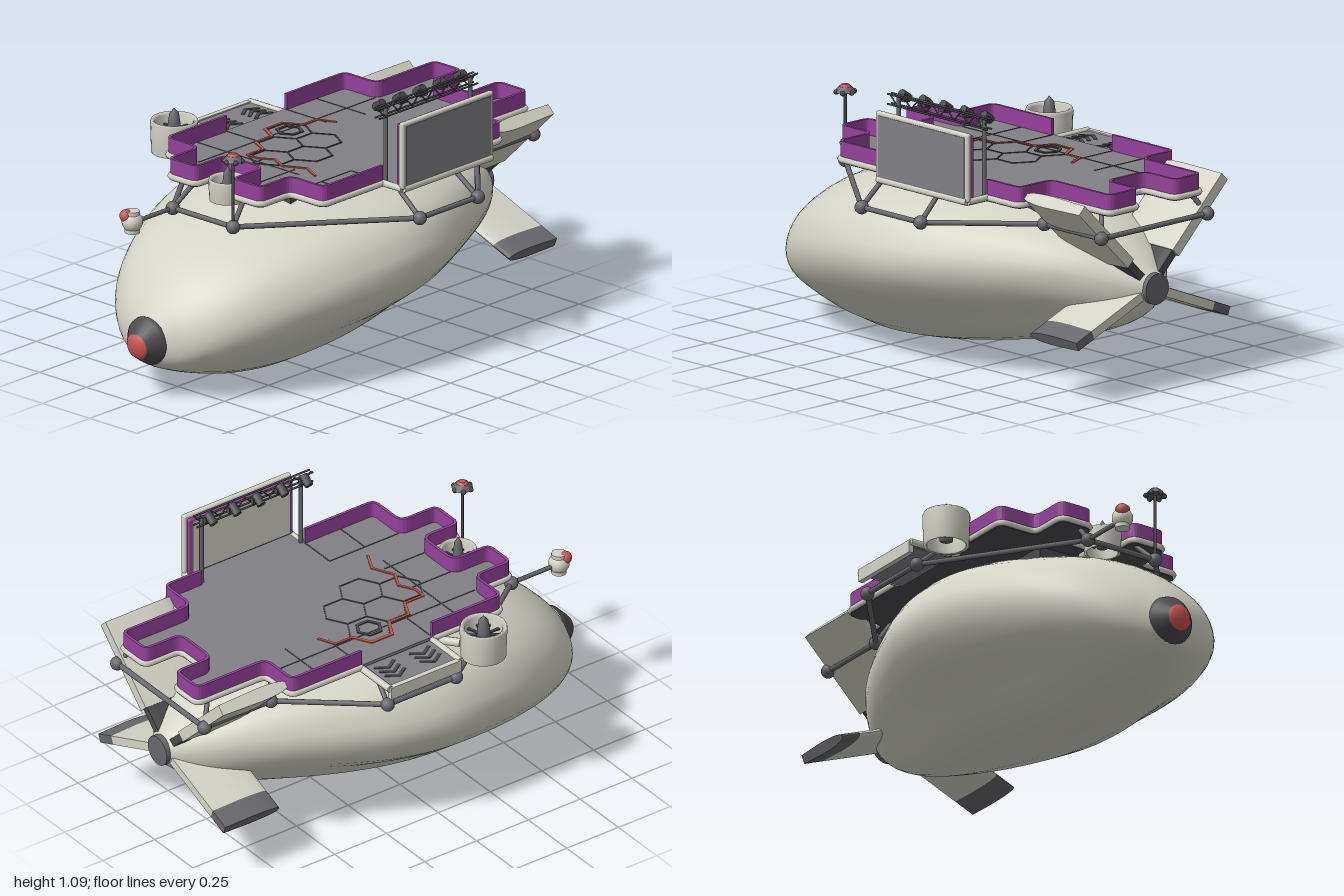
import * as THREE from 'three';
import { RoundedBoxGeometry } from 'three/addons/geometries/RoundedBoxGeometry.js';

const V = (x, y, z) => new THREE.Vector3(x, y, z);
const mat = (name, color, side = THREE.FrontSide) => Object.assign(new THREE.MeshStandardMaterial({ color, side }), { name });

export function createModel() {
  const model = new THREE.Group();
  const white = mat('hullWhite', 0xd3d3c6), floorGrey = mat('floorGrey', 0x818085), dark = mat('darkGrey', 0x4b4b4f);
  const steel = mat('steelGrey', 0x68686d), purple = mat('wallPurple', 0x94429a, THREE.DoubleSide), red = mat('signalRed', 0xcc5550);

  const add = (name, geo, m, x = 0, y = 0, z = 0, parent = model) => {
    const mesh = new THREE.Mesh(geo, m);
    mesh.name = name;
    mesh.position.set(x, y, z);
    parent.add(mesh);
    return mesh;
  };
  const box = (name, m, x0, x1, y0, y1, z0, z1) =>
    add(name, new THREE.BoxGeometry(x1 - x0, y1 - y0, z1 - z0), m, (x0 + x1) / 2, (y0 + y1) / 2, (z0 + z1) / 2);
  const rod = (name, a, b, r, m) => {
    const mesh = add(name, new THREE.CylinderGeometry(r, r, a.distanceTo(b), 8), m);
    mesh.position.copy(a).lerp(b, 0.5);
    mesh.quaternion.setFromUnitVectors(V(0, 1, 0), b.clone().sub(a).normalize());
    return mesh;
  };

  // Hull: stations are x, top, bottom, half width, widest height, lobe amount
  const stations = [
    [-0.92, 0.33, 0.14, 0.1, 0.235, 0], [-0.86, 0.41, 0.11, 0.215, 0.26, 0.05], [-0.75, 0.515, 0.07, 0.33, 0.31, 0.3],
    [-0.6, 0.605, 0.03, 0.425, 0.355, 0.6], [-0.4, 0.675, 0.005, 0.51, 0.4, 0.9], [-0.2, 0.715, 0.01, 0.56, 0.43, 1],
    [0, 0.73, 0.035, 0.575, 0.445, 1], [0.2, 0.725, 0.07, 0.54, 0.455, 1], [0.4, 0.7, 0.11, 0.46, 0.465, 1],
    [0.6, 0.66, 0.16, 0.36, 0.47, 0.95], [0.75, 0.61, 0.21, 0.265, 0.465, 0.6], [0.87, 0.54, 0.27, 0.165, 0.44, 0.2],
    [0.97, 0.465, 0.35, 0.06, 0.41, 0]];
  const curve = (a, b, c) => new THREE.CatmullRomCurve3(stations.map(s => V(s[a], s[b], s[c])), false, 'catmullrom', 0.5);
  const c1 = curve(0, 1, 2), c2 = curve(3, 4, 5);
  const lobed = new THREE.SplineCurve([[0, 1], [0.2, 0.98], [0.43, 0.9], [0.73, 0.71], [0.84, 0.58], [0.93, 0.37], [1, 0],
    [0.96, -0.18], [0.87, -0.36], [0.7, -0.54], [0.58, -0.65], [0.48, -0.78], [0.35, -0.9], [0.17, -0.98], [0, -1]]
    .map(p => new THREE.Vector2(...p))).getSpacedPoints(20);
  const pos = [], idx = [], ringN = 40, rings = 48;
  for (let i = 0; i <= rings; i++) {
    const p = c1.getPoint(i / rings), q = c2.getPoint(i / rings);
    for (let j = 0; j < ringN; j++) {
      const k = j <= 20 ? j : 40 - j, side = j <= 20 ? 1 : -1, t = k / 20 * Math.PI;
      const w = Math.min(1, Math.max(0, q.z));
      const zf = THREE.MathUtils.lerp(Math.sin(t), lobed[k].x, w), yf = THREE.MathUtils.lerp(Math.cos(t), lobed[k].y, w);
      pos.push(p.x, q.y + yf * (yf > 0 ? p.y - q.y : q.y - p.z), side * zf * q.x);
      if (i < rings) {
        const a = i * ringN + j, b = i * ringN + (j + 1) % ringN;
        idx.push(a, b, a + ringN, b, b + ringN, a + ringN);
      }
    }
  }
  const hull = new THREE.BufferGeometry();
  hull.setAttribute('position', new THREE.Float32BufferAttribute(pos, 3));
  hull.setIndex(idx);
  hull.computeVertexNormals();
  add('hull', hull, white);

  // Nose cone and tail cap
  const lathe = pts => new THREE.LatheGeometry(pts.map(p => new THREE.Vector2(...p)), 24);
  const noseAngle = Math.PI / 2 + 0.12;
  add('noseCone', lathe([[0.1, -0.01], [0.096, 0.01], [0.052, 0.062]]), dark, -0.92, 0.235, 0).rotation.z = noseAngle;
  add('noseTip', lathe([[0.053, 0.06], [0.042, 0.072], [0.02, 0.079], [0, 0.08]]), red, -0.92, 0.235, 0).rotation.z = noseAngle;
  add('tailCap', new THREE.CylinderGeometry(0.062, 0.062, 0.03, 24), steel, 0.972, 0.41, 0).rotation.z = Math.PI / 2;

  // Four tail fins, each an aerofoil swept outward from the tail
  const fin = (name, dir, x0, x1, t, start, end, m) => {
    const s = new THREE.Shape();
    s.moveTo(x1, -t * 0.4);
    s.lineTo(x1, t * 0.4);
    s.lineTo(x0 + 0.14, t / 2);
    s.quadraticCurveTo(x0, t / 2, x0, 0);
    s.quadraticCurveTo(x0, -t / 2, x0 + 0.14, -t / 2);
    const mesh = add(name, new THREE.ExtrudeGeometry(s, { depth: end - start, bevelEnabled: false, curveSegments: 8 }), m, 0, 0.41, 0);
    mesh.rotation.x = -Math.atan2(dir[0], dir[1]);
    mesh.geometry.translate(0, 0, start);
  };
  for (const s of [1, -1]) {
    fin('upperFinRoot', [0.38, s * 0.385], 0.78, 0.955, 0.04, 0.05, 0.2, dark);
    fin('upperFin', [0.38, s * 0.385], 0.64, 0.965, 0.055, 0.17, 0.54, white);
    fin('lowerFin', [-0.16, s * 0.4], 0.7, 0.965, 0.045, 0.06, 0.35, white);
    fin('lowerFinTip', [-0.16, s * 0.4], 0.7, 0.965, 0.045, 0.35, 0.44, steel);
  }

  // Deck outline, starboard and port runs with rounded corners
  const round = (pts, r = 0.035) => {
    const out = [pts[0]];
    for (let i = 1; i < pts.length - 1; i++) {
      const p = pts[i], a = p.clone().add(pts[i - 1].clone().sub(p).setLength(r)), b = p.clone().add(pts[i + 1].clone().sub(p).setLength(r));
      out.push(...new THREE.QuadraticBezierCurve(a, p, b).getPoints(5));
    }
    return [...out, pts[pts.length - 1]];
  };
  const to2 = list => list.map(p => new THREE.Vector2(...p));
  const tailRun = round(to2([[0.31, -0.42], [0.65, -0.42], [0.65, -0.25], [0.98, -0.25], [0.98, -0.1], [0.81, -0.1],
    [0.81, 0.09], [0.98, 0.09], [0.98, 0.25], [0.65, 0.25], [0.65, 0.42], [0.47, 0.42]]));
  const noseRun = round(to2([[-0.03, 0.42], [-0.37, 0.42], [-0.37, 0.245], [-0.54, 0.245], [-0.54, 0.09], [-0.37, 0.09],
    [-0.37, -0.1], [-0.54, -0.1], [-0.54, -0.25], [-0.37, -0.25], [-0.37, -0.42], [-0.03, -0.42]]));
  const outline = [...tailRun, ...to2([[0.47, 0.52], [-0.03, 0.52]]), ...noseRun];
  const slab = (name, depth, y, m) => {
    const geo = new THREE.ExtrudeGeometry(new THREE.Shape(outline.map(p => new THREE.Vector2(p.x, -p.y))), { depth, bevelEnabled: false });
    add(name, geo.rotateX(-Math.PI / 2), m, 0, y, 0);
  };
  slab('deckUnderside', 0.012, 0.742, dark);
  slab('deckFloor', 0.011, 0.754, floorGrey);

  // Padded purple walls with a white lip around the deck
  for (const run of [tailRun, noseRun]) {
    const path = new THREE.CurvePath();
    const inner = [];
    run.forEach((p, i) => {
      const d = run[Math.min(i + 1, run.length - 1)].clone().sub(run[Math.max(i - 1, 0)]).normalize();
      inner.push(new THREE.Vector2(p.x - d.y * 0.012, p.y + d.x * 0.012));
      if (i) path.add(new THREE.LineCurve3(V(run[i - 1].x, 0, run[i - 1].y), V(p.x, 0, p.y)));
    });
    const wall = new THREE.Shape([...run, ...inner.reverse()].map(p => new THREE.Vector2(p.x, -p.y)));
    add('deckWall', new THREE.ExtrudeGeometry(wall, { depth: 0.072, bevelEnabled: false }).rotateX(-Math.PI / 2), purple, 0, 0.758, 0);
    add('deckLip', new THREE.TubeGeometry(path, 220, 0.013, 6), white, 0, 0.757, 0);
  }
  box('deckPedestal', dark, -0.3, 0.5, 0.66, 0.744, -0.18, 0.18);

  // Floor markings: panel lines, hexagon tiles and a red trail
  const line = (name, a, b, w, m, y = 0.766) => {
    const mesh = add(name, new THREE.BoxGeometry(Math.hypot(b[0] - a[0], b[1] - a[1]) + w * 0.5, 0.004, w), m, (a[0] + b[0]) / 2, y, (a[1] + b[1]) / 2);
    mesh.rotation.y = -Math.atan2(b[1] - a[1], b[0] - a[0]);
  };
  [[-0.2, -0.41, -0.2, 0.13], [-0.03, -0.41, -0.03, -0.25], [0.31, -0.41, 0.31, -0.2], [0.48, -0.41, 0.48, -0.15], [-0.36, -0.25, 0.64, -0.25],
    [-0.36, 0.25, -0.03, 0.25], [-0.36, -0.09, -0.17, -0.09], [-0.36, 0.08, -0.17, 0.08], [-0.2, 0.25, -0.2, 0.41], [-0.03, 0.25, -0.03, 0.41]]
    .forEach(l => line('panelLine', [l[0], l[1]], [l[2], l[3]], 0.006, dark, 0.7645));
  const hex = (cx, cz, r, w, y) => {
    for (let k = 0; k < 6; k++) {
      const pt = n => [cx + r * Math.cos(n * Math.PI / 3), cz + r * Math.sin(n * Math.PI / 3)];
      line('hexTile', pt(k), pt(k + 1), w, dark, y);
    }
  };
  [[0.135, -0.23], [0, -0.152], [-0.08 - 0.055, -0.074], [0, 0.004], [0.135, -0.074]].forEach(c => hex(c[0], c[1], 0.09, 0.006));
  hex(0.135, -0.23, 0.05, 0.012, 0.77);
  const trail = [[0.335, -0.17], [0.305, -0.24], [0.225, -0.24], [0.185, -0.315], [0.085, -0.315], [0.045, -0.24], [-0.05, -0.24],
    [-0.085, -0.165], [-0.175, -0.165], [-0.175, -0.11], [-0.14, -0.05], [-0.175, 0.02], [-0.13, 0.11], [-0.17, 0.19]];
  trail.slice(1).forEach((p, i) => line('redTrail', trail[i], p, 0.01, red, 0.767));

  // Boarding ramp at the back with chevrons
  box('rampFloor', floorGrey, -0.02, 0.3, 0.735, 0.752, -0.6, -0.41);
  box('rampEdge', white, -0.03, 0.31, 0.705, 0.757, -0.612, -0.59);
  for (const x of [-0.03, 0.31]) rod('rampSide', V(x, 0.75, -0.605), V(x, 0.75, -0.42), 0.014, white);
  for (const cx of [0.055, 0.225]) for (let k = 0; k < 3; k++) for (const s of [1, -1])
    line('chevron', [cx, -0.55 + k * 0.035], [cx + s * 0.045, -0.52 + k * 0.035], 0.014, dark, 0.753);

  // Display screen standing on the front edge
  const panel = (name, m, w, h, d, z) => add(name, new RoundedBoxGeometry(w, h, d, 2, 0.009), m, 0.22, 0.893, z);
  panel('screenFrame', white, 0.52, 0.275, 0.024, 0.522);
  panel('screenPadding', purple, 0.505, 0.255, 0.02, 0.5);
  box('screenFace', floorGrey, -0.022, 0.462, 0.772, 1.015, 0.532, 0.537);
  box('screenBack', white, -0.015, 0.455, 0.775, 1.01, 0.486, 0.491);
  rod('screenFoot', V(-0.03, 0.757, 0.525), V(0.47, 0.757, 0.525), 0.016, white);
  for (const x of [-0.03, 0.47]) rod('screenFootSide', V(x, 0.757, 0.525), V(x, 0.757, 0.42), 0.014, white);

  // Lighting truss on two posts
  for (const x of [-0.02, 0.46]) rod('trussPost', V(x, 0.76, 0.425), V(x, 1.07, 0.425), 0.009, steel);
  for (const y of [1.035, 1.075]) for (const z of [0.415, 0.437]) rod('trussRail', V(-0.07, y, z), V(0.49, y, z), 0.004, dark);
  for (let k = 0; k < 14; k++) {
    const x = -0.07 + k * 0.04, up = k % 2 ? 1.035 : 1.075;
    rod('trussBrace', V(x, up, 0.426), V(x + 0.04, 2.11 - up, 0.426), 0.003, dark);
  }
  for (let k = 0; k < 5; k++) {
    const x = -0.02 + k * 0.115;
    rod('lampBody', V(x, 1.082, 0.41), V(x, 1.055, 0.37), 0.018, dark);
    box('lampBracket', dark, x - 0.021, x + 0.021, 1.05, 1.075, 0.395, 0.415);
  }

  // Outrigger frame of rods and ball joints below the deck
  const nodes = [[-0.6, 0.155], [-0.03, 0.615], [0.3, 0.615], [0.65, 0.285], [0.97, 0.285], [0.97, -0.285],
    [0.65, -0.285], [0.3, -0.575], [-0.03, -0.575], [-0.6, -0.165]].map(p => V(p[0], 0.66, p[1]));
  nodes.forEach((n, i) => {
    add('frameJoint', new THREE.SphereGeometry(0.028, 14, 10), steel).position.copy(n);
    rod('frameRod', n, nodes[(i + 1) % nodes.length], 0.011, steel);
    const top = V(n.x < -0.5 ? n.x + 0.09 : n.x > 0.9 ? n.x - 0.05 : n.x * 0.95, 0.745, n.z * 0.83);
    rod('frameStrut', n, top, 0.01, steel);
  });

  // Upright ducted fans
  const fan = (x, z, r, y0, y1, tip) => {
    const g = new THREE.Group();
    g.name = 'ductedFan';
    g.position.set(x, 0, z);
    model.add(g);
    add('fanDuct', lathe([[r * 0.82, y0], [r * 0.95, y0], [r, y1 - 0.01], [r * 0.95, y1], [r * 0.8, y1 - 0.01], [r * 0.8, y0 + 0.01], [r * 0.82, y0]]), white, 0, 0, 0, g);
    add('fanSpinner', lathe([[0, y0 + 0.02], [r * 0.28, y0 + 0.02], [r * 0.28, y1 - 0.03], [r * 0.2, (y1 + tip) / 2], [0, tip]]), steel, 0, 0, 0, g);
    for (let k = 0; k < 5; k++) {
      const blade = add('fanBlade', new THREE.BoxGeometry(r * 1.62, 0.006, r * 0.12), dark, 0, y1 - 0.045, 0, g);
      blade.rotation.y = k * Math.PI / 5;
    }
  };
  fan(-0.185, -0.545, 0.094, 0.69, 0.825, 0.87);
  fan(-0.465, 0, 0.075, 0.7, 0.79, 0.84);
  rod('fanArm', V(-0.12, 0.735, -0.48), V(-0.06, 0.735, -0.41), 0.018, white);
  rod('fanArm', V(-0.4, 0.735, 0), V(-0.33, 0.735, 0), 0.018, white);

  // Beacon lamp ahead of the deck
  rod('beaconArm', nodes[9], V(-0.83, 0.66, -0.165), 0.009, steel);
  add('beaconBody', new THREE.SphereGeometry(0.042, 16, 12), white, -0.83, 0.665, -0.165);
  add('beaconCollar', new THREE.CylinderGeometry(0.03, 0.03, 0.09, 14), white, -0.83, 0.665, -0.165);
  add('beaconLens', new THREE.SphereGeometry(0.026, 14, 10), red, -0.85, 0.69, -0.18);

  // Sensor mast
  rod('mastPost', V(-0.6, 0.66, 0.155), V(-0.6, 0.945, 0.155), 0.006, dark);
  add('mastHead', new THREE.CylinderGeometry(0.025, 0.042, 0.022, 14), steel, -0.6, 0.946, 0.155);
  add('mastLight', new THREE.CylinderGeometry(0.014, 0.024, 0.009, 14), red, -0.6, 0.961, 0.155);
  for (let k = 0; k < 6; k++) {
    const a = k * Math.PI / 3;
    add('mastPod', new THREE.SphereGeometry(0.011, 8, 6), dark, -0.6 + 0.036 * Math.cos(a), 0.935, 0.155 + 0.036 * Math.sin(a));
  }
  return model;
}
